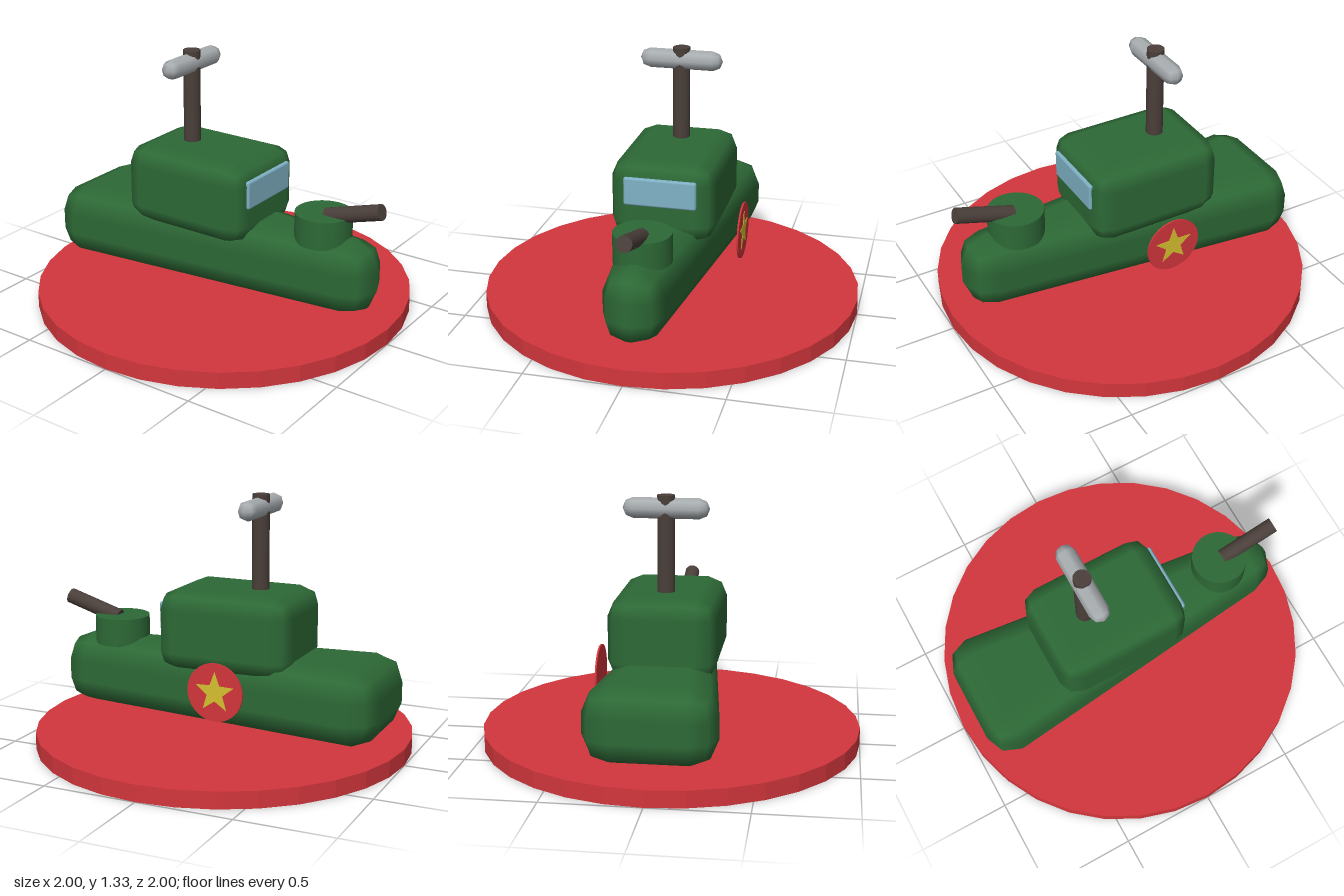
import * as THREE from 'three';
import { RoundedBoxGeometry } from 'three/addons/geometries/RoundedBoxGeometry.js';

const material = (name, color) => {
  const m = new THREE.MeshStandardMaterial({ color });
  m.name = name;
  return m;
};

export function createModel() {
  const red = material('red', 0xd2363c);
  const green = material('green', 0x2d6936);
  const brown = material('dark brown', 0x4a3f3a);
  const grey = material('light grey', 0xa8adb0);
  const blue = material('window blue', 0x80b2c6);
  const yellow = material('yellow', 0xd6c030);

  const model = new THREE.Group();
  const add = (name, geometry, mat, x, y, z) => {
    const mesh = new THREE.Mesh(geometry, mat);
    mesh.name = name;
    mesh.position.set(x, y, z);
    model.add(mesh);
    return mesh;
  };

  // Faceted round base
  const disc = new THREE.CylinderGeometry(1, 1, 0.087, 32).toNonIndexed();
  disc.computeVertexNormals();
  add('base', disc, red, 0, 0.0435, 0);

  // Hull: rounded block whose sides draw in towards a rounded nose
  const hull = new RoundedBoxGeometry(0.66, 0.39, 1.84, 1, 0.14);
  const p = hull.attributes.position;
  for (let i = 0; i < p.count; i++) {
    const t = THREE.MathUtils.clamp((p.getZ(i) + 0.78) / 1.56, 0, 1);
    p.setX(i, p.getX(i) - Math.sign(p.getX(i)) * 0.175 * t);
  }
  add('hull', hull, green, 0, 0.325, 0);

  // Cabin and its front window
  add('cabin', new RoundedBoxGeometry(0.55, 0.425, 0.735, 1, 0.1), green, 0, 0.632, -0.09);
  add('window', new RoundedBoxGeometry(0.38, 0.15, 0.03, 1, 0.012), blue, 0, 0.695, 0.27);

  // Turret and raised barrel
  add('turret', new THREE.CylinderGeometry(0.147, 0.147, 0.15, 32), green, 0, 0.555, 0.61);
  const barrel = add('barrel', new THREE.CylinderGeometry(0.041, 0.041, 0.32, 16), brown, 0, 0.659, 0.782);
  barrel.rotation.x = Math.PI / 2 - 0.295;

  // Mast with a cross handle
  add('mast', new THREE.CylinderGeometry(0.045, 0.045, 0.535, 16), brown, 0, 1.067, -0.205);
  add('handle', new RoundedBoxGeometry(0.44, 0.106, 0.106, 1, 0.053), grey, 0, 1.268, -0.205);

  // Round badge beside the left flank, with a raised star
  const badge = add('badge', new THREE.CylinderGeometry(0.152, 0.152, 0.009, 32), red, 0.36, 0.372, -0.113);
  badge.rotation.z = -Math.PI / 2;

  const star = new THREE.Shape();
  for (let i = 0; i < 10; i++) {
    const r = i % 2 ? 0.045 : 0.109;
    const a = Math.PI / 2 + (i * Math.PI) / 5;
    star[i ? 'lineTo' : 'moveTo'](r * Math.cos(a), r * Math.sin(a));
  }
  star.closePath();
  const starGeometry = new THREE.ExtrudeGeometry(star, { depth: 0.004, bevelEnabled: false });
  add('star', starGeometry, yellow, 0.363, 0.372, -0.113).rotation.y = Math.PI / 2;

  return model;
}
